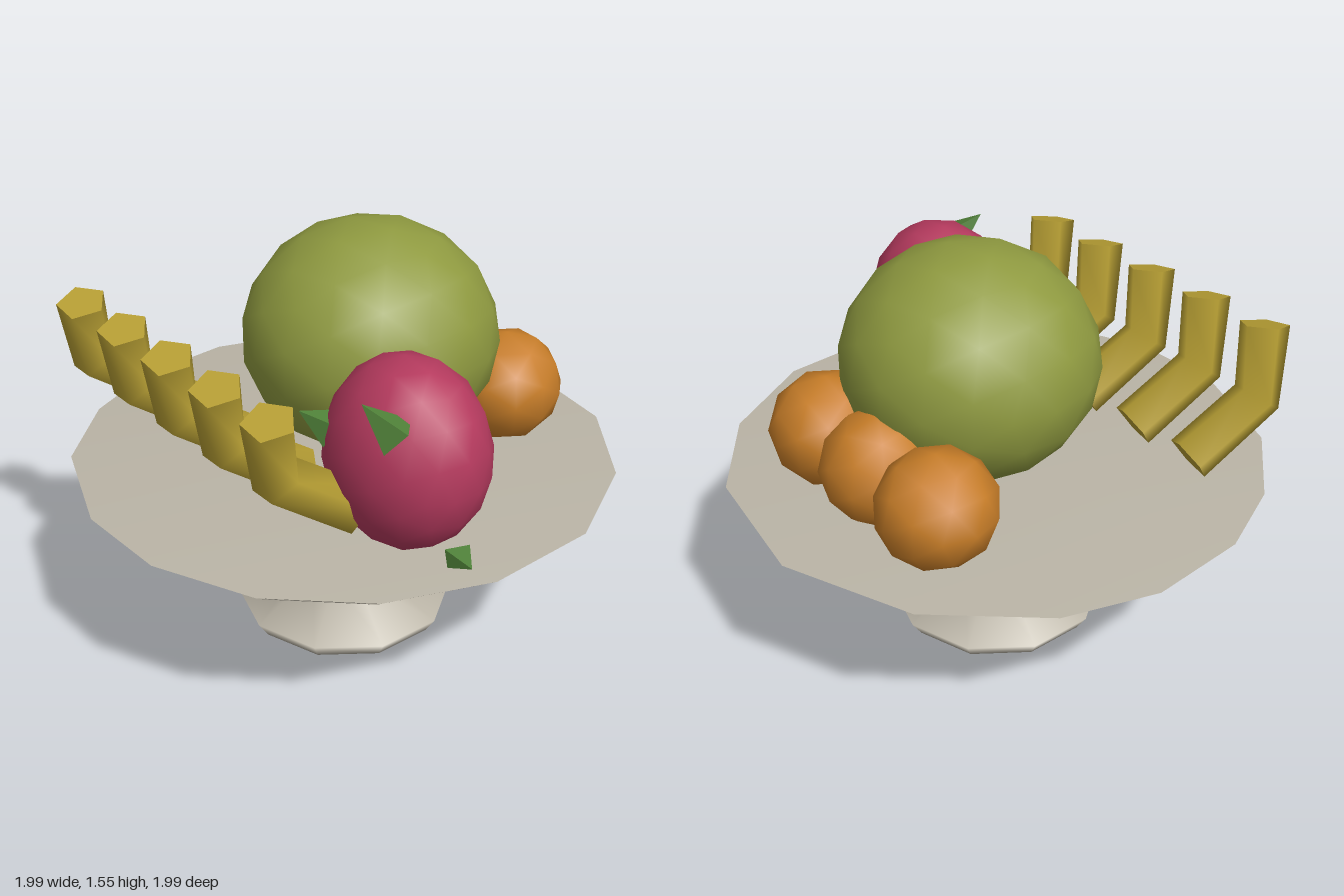
import * as THREE from 'three';

const mat = (color, extra = {}) => new THREE.MeshStandardMaterial({ color, ...extra });
const MATS = {
  stone: mat(0xbab4a6),
  melon: mat(0x8f9a40),
  orange: mat(0xc77d28),
  pink: mat(0xb53a5e),
  banana: mat(0xb59d33),
  leaf: mat(0x4f8038, { flatShading: true }),
};
const V = (x, y, z) => new THREE.Vector3(x, y, z);

function add(parent, name, geometry, material) {
  const mesh = new THREE.Mesh(geometry, material);
  mesh.name = name;
  parent.add(mesh);
  return mesh;
}

const profile = (pts) => pts.map(([r, y]) => new THREE.Vector2(r, y));

// Dish: a lathe whose corners follow a slightly uneven rim
function dishGeometry() {
  const rim = [
    [-0.15, 0.99], [0.22, 0.98], [0.58, 0.82], [0.85, 0.53], [0.99, 0.16],
    [0.97, -0.27], [0.76, -0.65], [0.42, -0.91], [-0.1, -1], [-0.58, -0.81],
    [-0.89, -0.46], [-1, -0.12], [-0.97, 0.26], [-0.83, 0.56], [-0.57, 0.83],
  ];
  const pts = profile([[0.11, 0.5], [0.92, 0.63], [1, 0.69], [0, 0.69]]);
  const geo = new THREE.LatheGeometry(pts, rim.length);
  const pos = geo.attributes.position;
  for (let k = 0; k < pos.count; k++) {
    const [x, z] = rim[Math.floor(k / pts.length) % rim.length];
    const r = pts[k % pts.length].x;
    pos.setX(k, x * r);
    pos.setZ(k, z * r);
  }
  return geo;
}

// Bent tube: mitred rings along a path, with separate flat caps
function bentTube(path, radius, sides) {
  const rings = path.map((p, i) => {
    const dir = path[Math.min(i + 1, path.length - 1)].clone()
      .sub(path[Math.max(i - 1, 0)]).normalize();
    const u = V(1, 0, 0).addScaledVector(dir, -dir.x).normalize();
    const w = dir.clone().cross(u);
    return Array.from({ length: sides }, (_, s) => {
      const a = (s / sides) * Math.PI * 2 + 0.3;
      return p.clone().addScaledVector(u, Math.cos(a) * radius).addScaledVector(w, Math.sin(a) * radius);
    });
  });
  const verts = rings.flat();
  const index = [];
  for (let i = 0; i < path.length - 1; i++) {
    for (let s = 0; s < sides; s++) {
      const a = i * sides + s, b = i * sides + (s + 1) % sides;
      index.push(a, b, a + sides, b, b + sides, a + sides);
    }
  }
  const start = verts.length, end = start + sides;
  verts.push(...rings[0], ...rings[rings.length - 1]);
  for (let s = 1; s < sides - 1; s++) {
    index.push(start, start + s + 1, start + s, end, end + s, end + s + 1);
  }
  const geo = new THREE.BufferGeometry().setFromPoints(verts);
  geo.setIndex(index);
  geo.computeVertexNormals();
  return geo;
}

// Low-poly smooth ball stretched to the given radii
function fruit(parent, name, material, detail, center, radii) {
  const mesh = add(parent, name, new THREE.IcosahedronGeometry(1, detail), material);
  mesh.position.set(...center);
  mesh.scale.set(...radii);
  return mesh;
}

// Pointed scale growing from base to tip
function leaf(parent, base, tip, radius) {
  const dir = tip.clone().sub(base);
  const mesh = add(parent, 'leaf', new THREE.ConeGeometry(radius, dir.length(), 4), MATS.leaf);
  mesh.position.copy(base).addScaledVector(dir, 0.5);
  mesh.quaternion.setFromUnitVectors(V(0, 1, 0), dir.normalize());
}

export function createModel() {
  const model = new THREE.Group();
  model.name = 'fruitStand';

  // Stand
  const stand = new THREE.Group();
  stand.name = 'stand';
  model.add(stand);
  add(stand, 'dish', dishGeometry(), MATS.stone);
  add(stand, 'pedestal', new THREE.LatheGeometry(profile([
    [0, 0], [0.37, 0], [0.41, 0.06], [0.15, 0.19], [0.12, 0.52],
  ]), 10), MATS.stone);

  // Melon
  const melon = fruit(model, 'melon', MATS.melon, 2, [0, 1.125, -0.12], [0.47, 0.43, 0.47]);
  melon.rotation.y = 0.2;

  // Row of oranges
  const oranges = new THREE.Group();
  oranges.name = 'oranges';
  model.add(oranges);
  [-0.38, -0.06, 0.26].forEach((x, i) => {
    const ball = fruit(oranges, 'orange', MATS.orange, 1, [x, 0.885, -0.56], [0.215, 0.21, 0.22]);
    ball.rotation.y = i * 0.5;
  });

  // Pink fruit with leaf scales
  const pinkFruit = new THREE.Group();
  pinkFruit.name = 'pinkFruit';
  model.add(pinkFruit);
  const body = fruit(pinkFruit, 'pinkFruitBody', MATS.pink, 2, [0.575, 1.0, 0.195], [0.31, 0.345, 0.265]);
  body.rotation.z = -0.12;
  leaf(pinkFruit, V(0.73, 1.18, 0.37), V(0.65, 1.29, 0.45), 0.075);
  leaf(pinkFruit, V(0.4, 1.07, 0.37), V(0.34, 1.14, 0.46), 0.07);
  leaf(pinkFruit, V(0.6, 0.84, -0.01), V(0.58, 0.77, -0.12), 0.075);
  leaf(pinkFruit, V(0.83, 0.7, 0.18), V(0.845, 0.78, 0.26), 0.06);

  // Row of bananas
  const bananas = new THREE.Group();
  bananas.name = 'bananas';
  model.add(bananas);
  const bananaGeo = bentTube([V(0.01, 0.82, 0.37), V(-0.05, 1.0, 0.635), V(0, 1.25, 0.695)], 0.092, 5);
  for (let i = 0; i < 5; i++) {
    add(bananas, 'banana', bananaGeo, MATS.banana).position.x = -0.635 + i * 0.285;
  }
  return model;
}
